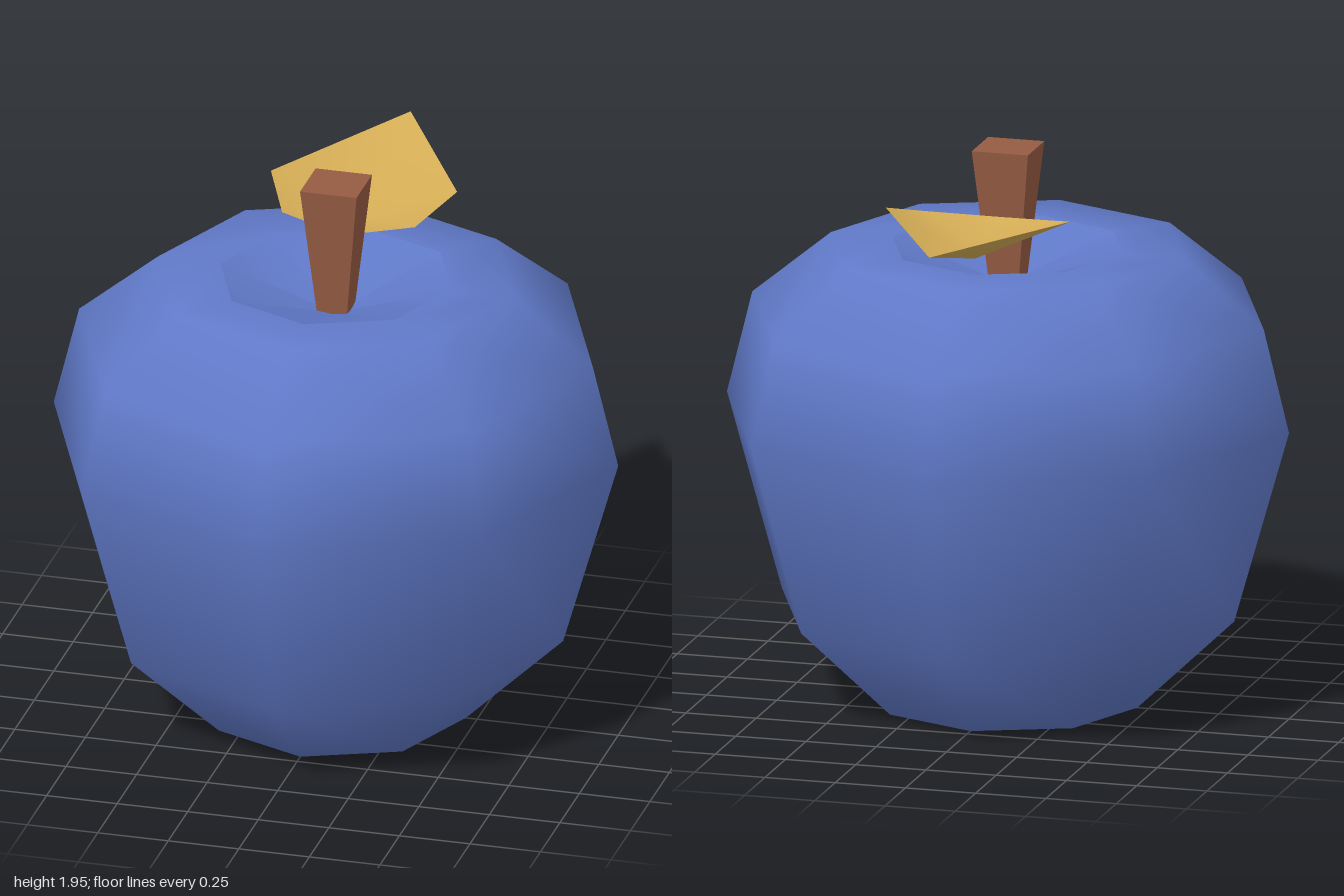
import * as THREE from 'three';

export function createModel() {
  const model = new THREE.Group();
  const blue = new THREE.MeshStandardMaterial({ name: 'blueSkin', color: 0x6079c8 });
  const brown = new THREE.MeshStandardMaterial({ name: 'brownStem', color: 0x955b43, flatShading: true });
  const gold = new THREE.MeshStandardMaterial({ name: 'goldLeaf', color: 0xd6ae56, side: THREE.DoubleSide });

  const add = (name, geometry, material) => {
    const mesh = new THREE.Mesh(geometry, material);
    mesh.name = name;
    model.add(mesh);
    return mesh;
  };
  const lathe = (profile) =>
    new THREE.LatheGeometry(profile.map(([r, y]) => new THREE.Vector2(r, y)), 8);

  // Eight-sided, smoothly shaded fruit with a flat base
  add('fruitBody', lathe([
    [0, 0], [0.46, 0], [0.805, 0.33], [1, 1.01], [0.91, 1.37], [0.63, 1.6], [0.41, 1.6],
  ]), blue);

  // Shallow hollow around the stem
  add('stemHollow', lathe([[0.41, 1.6], [0, 1.465]]), blue);

  // Square stem, wider at the top
  const stem = new THREE.CylinderGeometry(0.1 * Math.SQRT2, 0.051 * Math.SQRT2, 0.49, 4);
  stem.rotateY(Math.PI / 4);
  add('stem', stem, brown).position.y = 1.705;

  // Folded leaf: base, fold and tip on the centre line, then two points on each side
  const leaf = new THREE.BufferGeometry();
  leaf.setAttribute('position', new THREE.Float32BufferAttribute([
    0, 1.72, -0.08, 0, 1.655, -0.4, 0, 1.8, -0.96,
    0.235, 1.743, -0.16, 0.33, 1.8, -0.36,
    -0.235, 1.743, -0.16, -0.33, 1.8, -0.36,
  ], 3));
  leaf.setIndex([0, 3, 1, 3, 4, 1, 4, 2, 1, 5, 0, 1, 6, 5, 1, 2, 6, 1]);
  leaf.computeVertexNormals();
  add('leaf', leaf, gold);

  return model;
}
